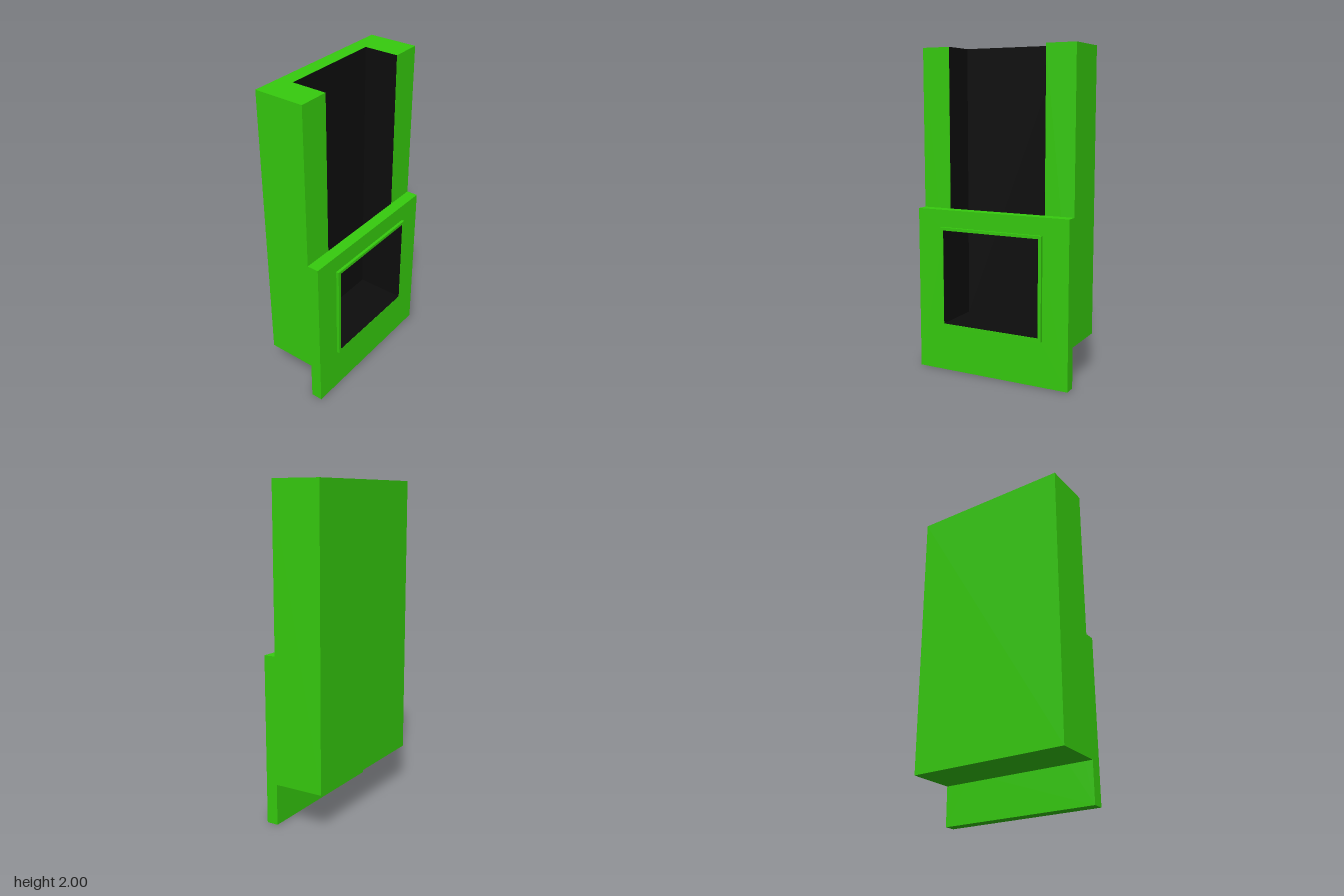
import * as THREE from 'three';

const green = new THREE.MeshStandardMaterial({ color: 0x36cc0e });
const black = new THREE.MeshStandardMaterial({ color: 0x0d0d0d, side: THREE.DoubleSide });

// Main levels, shared by several parts
const BACK = -0.2, JOINT = 0.108, PLATE = 0.18, RIM = 0.198;
const CAVITY_BACK = -0.11, HALF = 0.508, INNER = 0.322;
const BASE = 0.25, FLOOR = 0.302, SILL_TOP = 0.892, PLATE_TOP = 1.017, TOP = 2;

function polygon(points) {
  return new THREE.Shape(points.map(([a, b]) => new THREE.Vector2(a, b)));
}

function rectangle(half, low, high) {
  return [[-half, low], [half, low], [half, high], [-half, high]];
}

export function createModel() {
  const group = new THREE.Group();

  function add(name, geometry, material = green) {
    const mesh = new THREE.Mesh(geometry, material);
    mesh.name = name;
    group.add(mesh);
    return mesh;
  }

  // Upright panel facing +x with a rectangular window
  function windowPanel(name, x0, x1, half, low, high) {
    const shape = polygon(rectangle(half, low, high));
    shape.holes.push(polygon(rectangle(INNER, FLOOR, SILL_TOP)));
    const geometry = new THREE.ExtrudeGeometry(shape, { depth: x1 - x0, bevelEnabled: false });
    geometry.rotateY(Math.PI / 2).translate(x0, 0, 0);
    add(name, geometry);
  }

  // Channel housing: U cross-section, open at the top and toward +x
  const channel = polygon([
    [BACK, -HALF], [JOINT, -HALF], [JOINT, -INNER], [CAVITY_BACK, -INNER],
    [CAVITY_BACK, INNER], [JOINT, INNER], [JOINT, HALF], [BACK, HALF],
  ]);
  const housing = new THREE.ExtrudeGeometry(channel, { depth: TOP - BASE, bevelEnabled: false });
  housing.rotateX(-Math.PI / 2).translate(0, BASE, 0);
  add('channelHousing', housing);

  // Floor closing the bottom of the channel
  const floor = new THREE.BoxGeometry(JOINT - CAVITY_BACK, FLOOR - BASE, 2 * INNER);
  add('channelFloor', floor).position.set((JOINT + CAVITY_BACK) / 2, (FLOOR + BASE) / 2, 0);

  // Lower cover plate and the raised rim around its window
  windowPanel('coverPlate', JOINT, PLATE, HALF, 0, PLATE_TOP);
  windowPanel('windowRim', PLATE, RIM, 0.342, 0.28, 0.91);

  // Dark lining, just clear of the green surfaces
  const gap = 0.0015;
  const width = 2 * INNER;

  function facingX(name, x, low, high) {
    const geometry = new THREE.PlaneGeometry(width, high - low).rotateY(Math.PI / 2);
    add(name, geometry, black).position.set(x, (low + high) / 2, 0);
  }
  function facingY(name, y, x0, x1) {
    const geometry = new THREE.PlaneGeometry(x1 - x0, width).rotateX(-Math.PI / 2);
    add(name, geometry, black).position.set((x0 + x1) / 2, y, 0);
  }
  function facingZ(name, z, x0, x1, low, high) {
    const geometry = new THREE.PlaneGeometry(x1 - x0, high - low);
    add(name, geometry, black).position.set((x0 + x1) / 2, (low + high) / 2, z);
  }

  facingX('liningBack', CAVITY_BACK + gap, FLOOR, TOP);
  facingX('liningBehindPlate', JOINT - gap, SILL_TOP, PLATE_TOP);
  facingY('liningFloor', FLOOR + gap, CAVITY_BACK, RIM);
  facingY('liningWindowTop', SILL_TOP - gap, JOINT, RIM);
  for (const side of [-1, 1]) {
    facingZ('liningSide', side * (INNER - gap), CAVITY_BACK, JOINT, FLOOR, TOP);
    facingZ('liningWindowSide', side * (INNER - gap), JOINT, RIM, FLOOR, SILL_TOP);
  }

  return group;
}
